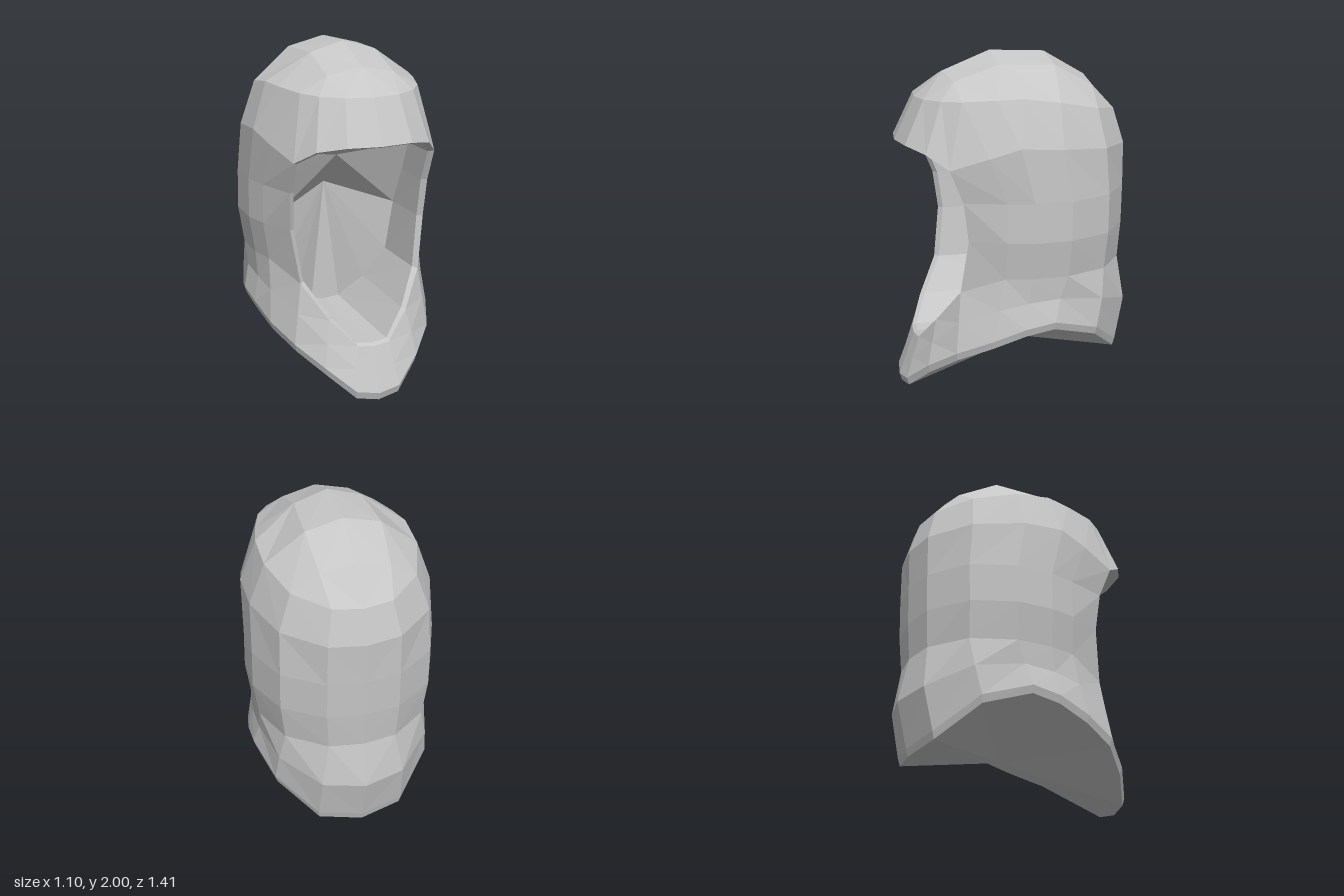
import * as THREE from 'three';

const V = (x, y, z) => new THREE.Vector3(x, y, z);

// Collects triangles for the +x half and mirrors each one across x = 0
class HalfMesh {
  constructor() { this.pos = []; }
  tri(a, b, c) {
    if (a === b || b === c || a === c) return;
    for (const p of [a, b, c]) this.pos.push(p.x, p.y, p.z);
    for (const p of [a, c, b]) this.pos.push(-p.x, p.y, p.z);
  }
  quad(a, b, c, d) { this.tri(a, b, c); this.tri(a, c, d); }
  // Rows run top to bottom, points run from the front towards the back
  strip(top, bottom, from = 0) {
    for (let i = from; i < top.length - 1; i++) this.quad(top[i], bottom[i], bottom[i + 1], top[i + 1]);
  }
  build(name, material) {
    const g = new THREE.BufferGeometry();
    g.setAttribute('position', new THREE.Float32BufferAttribute(this.pos, 3));
    g.computeVertexNormals();
    const mesh = new THREE.Mesh(g, material);
    mesh.name = name;
    return mesh;
  }
}

// Half outline of a ring: front centre, side, back centre
const UX = [0, 0.36, 0.63, 0.8, 0.93, 1, 1, 0.81, 0.39, 0];
const UZ = [1, 0.96, 0.83, 0.66, 0.35, 0.1, -0.26, -0.68, -0.95, -1];

// The ring height runs from yFront to yBack and may arch up at the sides
function ring(yFront, yBack, width, front, back, arch = 0) {
  const mid = (front + back) / 2, depth = (front - back) / 2;
  return UX.map((u, i) => V(
    u * width,
    THREE.MathUtils.lerp(yBack, yFront, (UZ[i] + 1) / 2) + arch * (1 - Math.abs(UZ[i])),
    mid + UZ[i] * depth));
}

export function createModel() {
  const group = new THREE.Group();
  group.name = 'hood';
  const cloth = new THREE.MeshStandardMaterial({ color: 0xc6c6c6 });
  cloth.name = 'grey cloth';
  cloth.flatShading = true;

  // Crown: a ridge of panels running front to back, then two rings down to the brow
  const crown = new HalfMesh();
  const ridge = [V(0, 1.89, 0.41), V(0, 2, 0.13), V(0, 1.985, -0.2), V(0, 1.84, -0.45)];
  const shoulder = [V(0.2, 1.85, 0.39), V(0.2, 1.94, 0.12), V(0.22, 1.93, -0.2), V(0.2, 1.8, -0.44)];
  crown.strip(ridge, shoulder);
  const [a, b, c, d] = shoulder;
  const capEdge = [ridge[0], a, a, a, b, b, c, d, d, ridge[3]];
  const temple = ring(1.75, 1.65, 0.445, 0.58, -0.61, 0.08);
  const brow = ring(1.5, 1.45, 0.535, 0.7, -0.67, 0.04);
  brow[1].y = 1.5;
  brow[2].y = 1.47;
  brow[3].y = 1.39;
  brow[4].y = 1.46;
  crown.strip(capEdge, temple);
  crown.strip(temple, brow);
  group.add(crown.build('crown', cloth));

  // Sides and back: rings that stop at the face opening (column 3)
  const sides = new HalfMesh();
  const levels = [
    [1.2, 0.545, -0.665, V(0.425, 1.2, 0.39)],
    [0.97, 0.548, -0.66, V(0.415, 0.97, 0.36)],
    [0.75, 0.515, -0.645, V(0.37, 0.66, 0.4)],
  ].map(([y, w, back, rim]) => {
    const row = ring(y, y, w, 0.55, back);
    row[3] = rim;
    return row;
  });
  [brow, ...levels].forEach((row, r, all) => { if (r) sides.strip(all[r - 1], row, 3); });
  group.add(sides.build('sidesAndBack', cloth));

  // Collar: from the opening and the sides down to the curved hem
  const collar = new HalfMesh();
  const upper = [V(0, 0.3, 0.61), V(0.1, 0.31, 0.6), V(0.24, 0.46, 0.52), ...levels[2].slice(3)];
  const hem = [
    V(0, 0, 0.69), V(0.13, 0.02, 0.67), V(0.28, 0.15, 0.57), V(0.41, 0.26, 0.43), V(0.49, 0.34, 0.24),
    V(0.525, 0.41, 0.05), V(0.53, 0.44, -0.12), V(0.46, 0.36, -0.39), V(0.25, 0.19, -0.58), V(0, 0.16, -0.63),
  ];
  const lip = hem.map(p => V(p.x * 1.025, p.y + 0.045, p.z * 1.02));
  const flare = [1, 1, 1, 1, 0.99, 0.965, 0.965, 1.02, 1.07, 1.095];
  const middle = upper.map((p, i) => {
    const m = p.clone().lerp(lip[i], 0.5);
    return V(m.x * flare[i], m.y, m.z * flare[i]);
  });
  collar.strip(upper, middle);
  collar.strip(middle, lip);
  group.add(collar.build('collar', cloth));

  const hemBand = new HalfMesh();
  hemBand.strip(lip, hem);
  group.add(hemBand.build('hemBand', cloth));

  // Underside: shallow fan closing the neck
  const underside = new HalfMesh();
  const neck = V(0, 0.21, -0.07);
  for (let i = 0; i < 9; i++) underside.tri(hem[i], neck, hem[i + 1]);
  group.add(underside.build('underside', cloth));

  // Opening rim: thin edge, then walls and a floor running back into the hood
  const rim = new HalfMesh();
  const outer = [...brow.slice(0, 4), ...levels.map(l => l[3]), upper[2], upper[1], upper[0]];
  const edge = outer.map(p => V(p.x * 0.93, 0.95 + (p.y - 0.95) * 0.98, p.z - 0.025));
  const innerZ = [0.32, 0.32, 0.28, 0.2, 0.12, 0.02, 0, -0.08, -0.18, -0.18];
  const inner = edge.map((p, i) => V(p.x * 0.97, p.y, innerZ[i]));
  for (const [near, far] of [[outer, edge], [edge, inner]])
    for (let k = 0; k < 9; k++) rim.quad(near[k], far[k], far[k + 1], near[k + 1]);
  group.add(rim.build('openingRim', cloth));

  // Recess: faceted back of the hollow
  const recess = new HalfMesh();
  const high = V(0, 1.3, 0.02), low = V(0, 1.08, -0.2);
  for (let k = 0; k < 9; k++) {
    if (k === 4) recess.quad(high, low, inner[5], inner[4]);
    else recess.tri(k < 4 ? high : low, inner[k + 1], inner[k]);
  }
  group.add(recess.build('faceRecess', cloth));

  return group;
}
